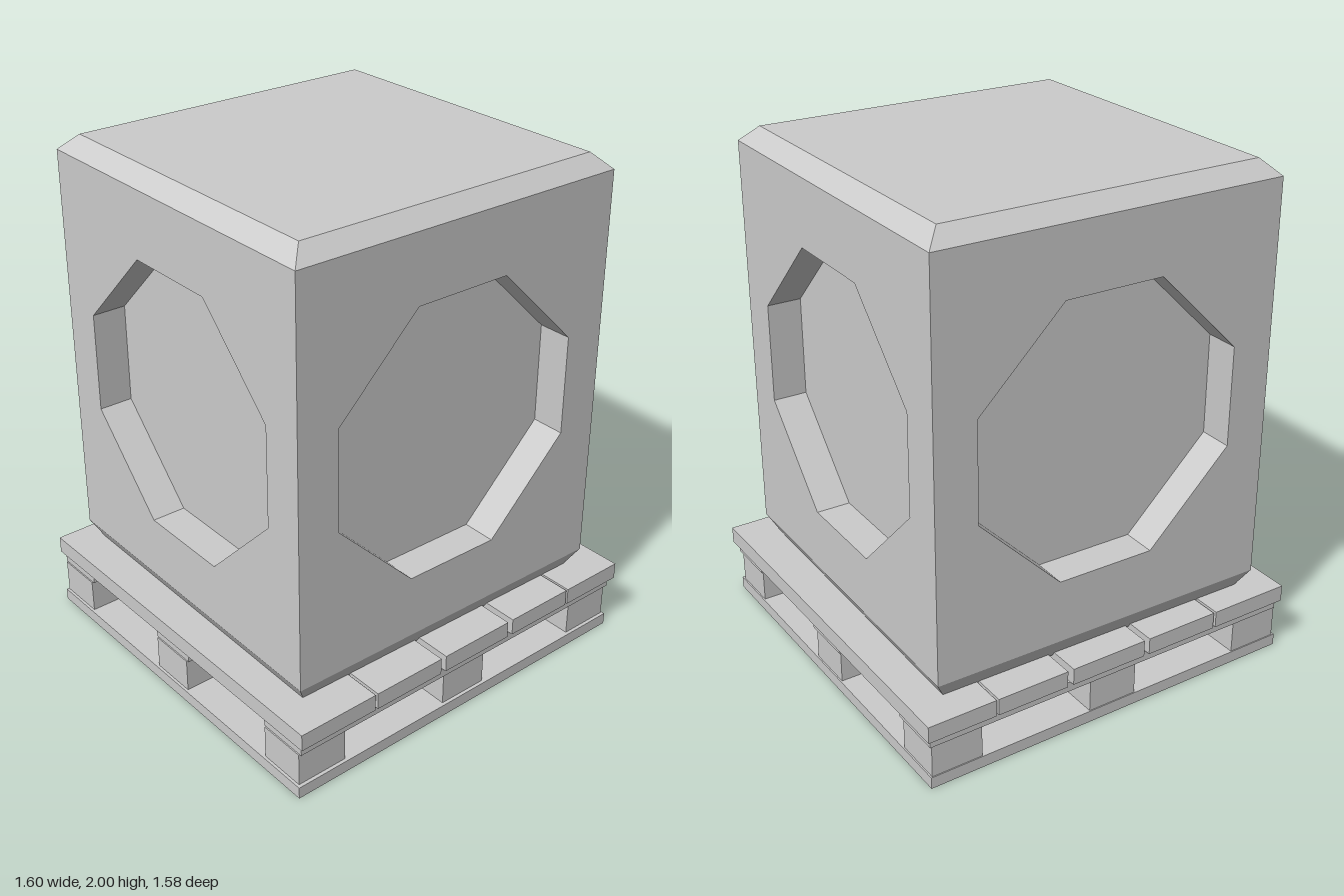
import * as THREE from 'three';

const material = new THREE.MeshStandardMaterial({ color: 0xcccccc, flatShading: true });

function addMesh(parent, name, geometry) {
  const mesh = new THREE.Mesh(geometry, material);
  mesh.name = name;
  parent.add(mesh);
  return mesh;
}

// Box given by its extents
function addBox(parent, name, [x0, x1], [y0, y1], [z0, z1]) {
  const mesh = addMesh(parent, name, new THREE.BoxGeometry(x1 - x0, y1 - y0, z1 - z0));
  mesh.position.set((x0 + x1) / 2, (y0 + y1) / 2, (z0 + z1) / 2);
}

// Flat-sided strip between two outlines, closed by a cap on the second one
function loftWithCap(a, b) {
  const points = [];
  const n = a.length;
  for (let i = 0; i < n; i++) {
    const j = (i + 1) % n;
    points.push(a[i], a[j], b[j], a[i], b[j], b[i]);
    if (i > 0 && i < n - 1) points.push(b[0], b[i], b[j]);
  }
  const geometry = new THREE.BufferGeometry().setFromPoints(points);
  geometry.computeVertexNormals();
  return geometry;
}

// Horizontal square outline, counter-clockwise from above
const square = (h, y) =>
  [[1, 1], [1, -1], [-1, -1], [-1, 1]].map(([x, z]) => new THREE.Vector3(x * h, y, z * h));

function createCrate() {
  const crate = new THREE.Group();
  crate.name = 'crate';
  const half = 0.699, low = 0.362, high = 1.94, depth = 0.135;

  // Bevelled lid and base; the base sinks slightly between the deck planks
  addMesh(crate, 'lid', loftWithCap(square(half, high), square(0.637, 2)));
  addMesh(crate, 'base', loftWithCap(square(half, low).reverse(), square(0.648, 0.271).reverse()));

  // Octagonal window outline
  const r = 0.532, f = 0.197, cy = 1.145;
  const octagon = [[r, -f], [r, f], [f, r], [-f, r], [-r, f], [-r, -f], [-f, -r], [f, -r]]
    .map(([x, y]) => new THREE.Vector2(x, y + cy));
  const outline = new THREE.Shape([[-half, low], [half, low], [half, high], [-half, high]]
    .map(([x, y]) => new THREE.Vector2(x, y)));
  outline.holes.push(new THREE.Path(octagon));
  const panel = new THREE.ShapeGeometry(outline).translate(0, 0, half);
  const atDepth = (z) => octagon.map((p) => new THREE.Vector3(p.x, p.y, z));
  const recess = loftWithCap(atDepth(half), atDepth(half - depth));

  // Four identical sides
  ['front', 'left', 'back', 'right'].forEach((side, i) => {
    addMesh(crate, side + 'Panel', panel).rotation.y = i * Math.PI / 2;
    addMesh(crate, side + 'Recess', recess).rotation.y = i * Math.PI / 2;
  });

  // Set down slightly askew on the pallet
  crate.position.set(-0.004, 0, -0.011);
  crate.rotation.y = -0.0155;
  return crate;
}

function createPallet() {
  const pallet = new THREE.Group();
  pallet.name = 'pallet';

  // Deck planks running front to back
  [[-0.8, -0.466], [-0.455, -0.148], [-0.125, 0.195], [0.22, 0.515], [0.524, 0.8]]
    .forEach((x) => addBox(pallet, 'deckPlank', x, [0.22, 0.287], [-0.788, 0.79]));

  // Three cross boards, each on a row of three blocks
  const columns = [[-0.793, -0.585], [-0.108, 0.097], [0.566, 0.772]];
  for (const z of [-0.663, -0.003, 0.667]) {
    addBox(pallet, 'crossBoard', [-0.788, 0.782], [0.18, 0.22], [z - 0.104, z + 0.104]);
    for (const x of columns) addBox(pallet, 'block', x, [0.047, 0.18], [z - 0.096, z + 0.096]);
  }

  // Open bottom frame
  const height = [0, 0.047];
  for (const z of [[-0.763, -0.56], [0.575, 0.777]]) {
    addBox(pallet, 'bottomBoard', [-0.804, 0.778], height, z);
  }
  for (const x of [[-0.804, -0.59], [0.565, 0.778]]) {
    addBox(pallet, 'bottomSideBoard', x, height, [-0.56, 0.575]);
  }
  return pallet;
}

export function createModel() {
  const model = new THREE.Group();
  model.name = 'crateOnPallet';
  model.add(createPallet(), createCrate());
  return model;
}
